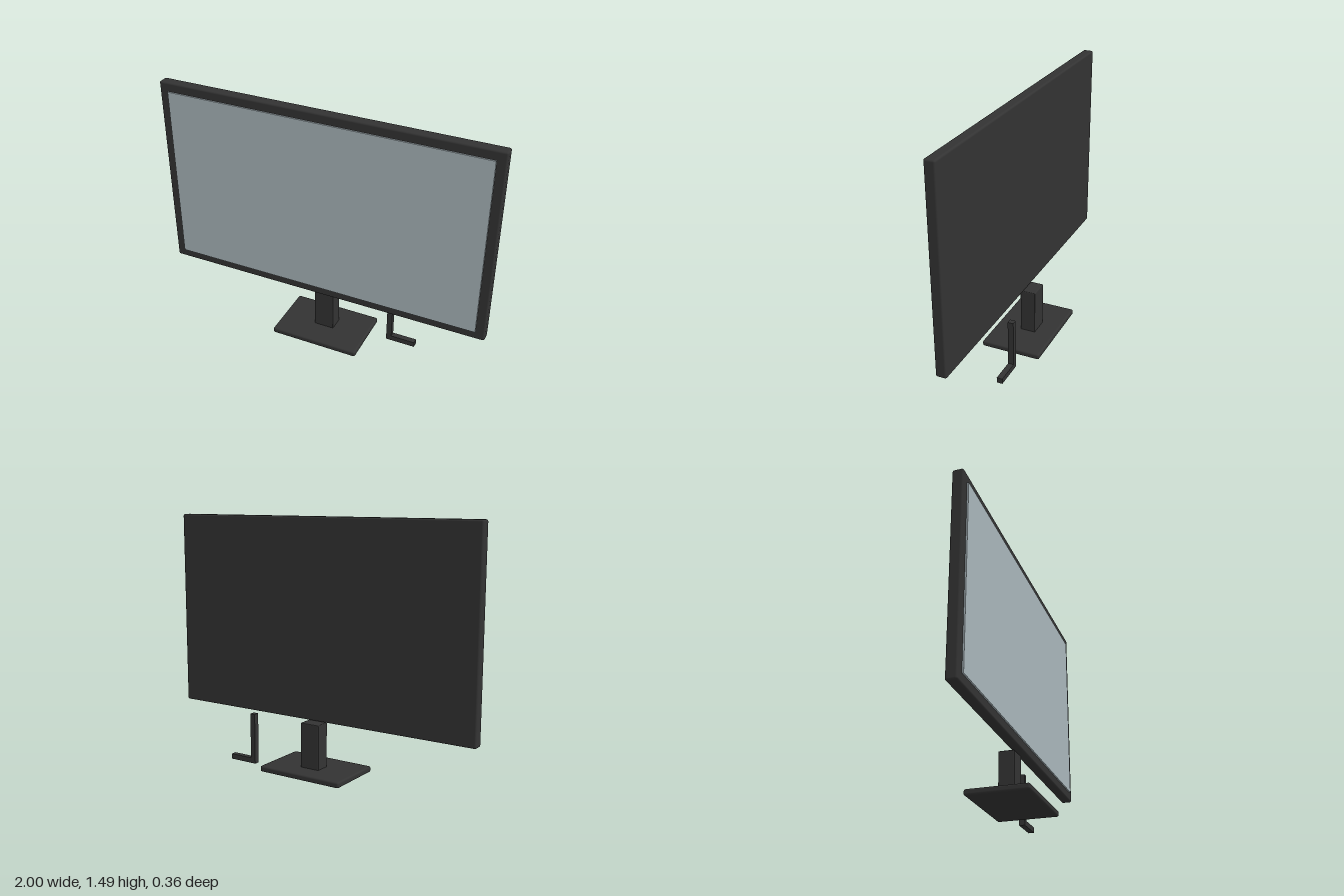
import * as THREE from 'three';
import { RoundedBoxGeometry } from 'three/addons/geometries/RoundedBoxGeometry.js';

const casing = new THREE.MeshStandardMaterial({ name: 'charcoal casing', color: 0x333333 });
const glass = new THREE.MeshStandardMaterial({ name: 'pale blue-grey glass', color: 0xa9b6bb });

// Box given by its [min, max] extents on each axis, with optional softened edges
function slab(name, material, [x0, x1], [y0, y1], [z0, z1], radius = 0) {
  const size = [x1 - x0, y1 - y0, z1 - z0];
  const geometry = radius
    ? new RoundedBoxGeometry(...size, 2, radius)
    : new THREE.BoxGeometry(...size);
  const mesh = new THREE.Mesh(geometry, material);
  mesh.name = name;
  mesh.position.set((x0 + x1) / 2, (y0 + y1) / 2, (z0 + z1) / 2);
  return mesh;
}

// L-shaped bracket standing beside the stand
function createHook() {
  const shape = new THREE.Shape([
    [0.38, 0.003], [0.56, 0.003], [0.56, 0.035],
    [0.412, 0.035], [0.412, 0.31], [0.38, 0.31],
  ].map(([x, y]) => new THREE.Vector2(x, y)));
  const geometry = new THREE.ExtrudeGeometry(shape, { depth: 0.034, bevelEnabled: false });
  const hook = new THREE.Mesh(geometry, casing);
  hook.name = 'sideHook';
  hook.position.z = -0.088;
  return hook;
}

export function createModel() {
  const model = new THREE.Group();
  model.name = 'monitor';

  // Display panel with the glass proud of its face
  model.add(
    slab('displayCasing', casing, [-1, 1], [0.304, 1.486], [0.006, 0.069], 0.011),
    slab('screen', glass, [-0.945, 0.945], [0.356, 1.432], [0.068, 0.0775]),
  );

  // Stand
  model.add(
    slab('standColumn', casing, [-0.062, 0.062], [0.03, 0.302], [-0.064, 0.029], 0.005),
    slab('standBase', casing, [-0.272, 0.272], [0, 0.035], [-0.181, 0.181], 0.011),
  );

  model.add(createHook());
  return model;
}
